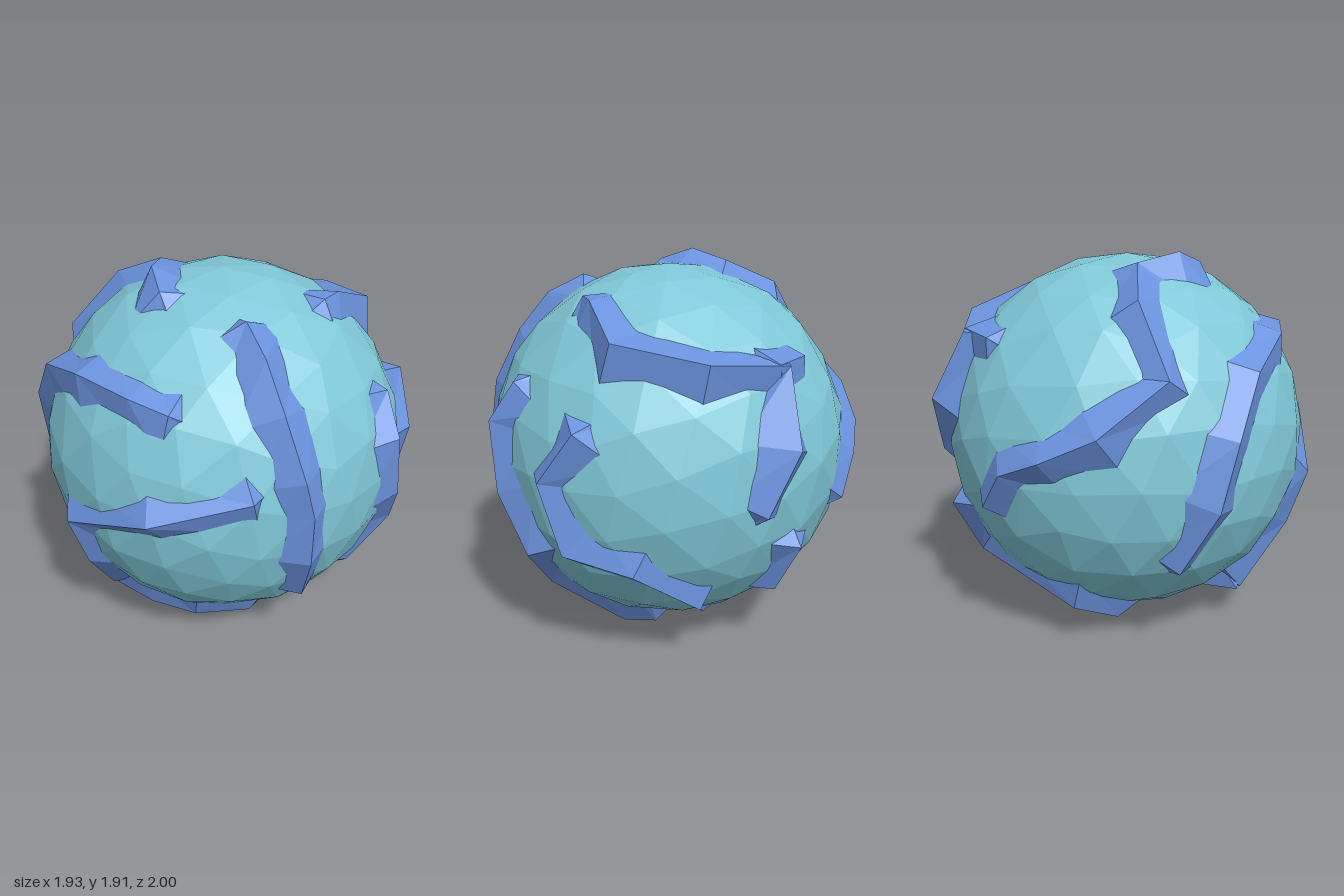
import * as THREE from 'three';

const CENTER = new THREE.Vector3(0, 0.96, 0);
const GLOBE_RADIUS = 0.92;

const globeMaterial = new THREE.MeshStandardMaterial({ color: 0x80c8d8, flatShading: true });
const ridgeMaterial = new THREE.MeshStandardMaterial({ color: 0x6c94e0, flatShading: true });

// Crest lines of the raised ridges, as x, y, z points
const ridges = {
  upperFrontRidge: [[0.08, 1.48, 0.78], [-0.12, 1.53, 0.79], [-0.45, 1.53, 0.67], [-0.76, 1.42, 0.45],
    [-0.93, 1.15, 0.31], [-0.96, 0.83, 0.22], [-0.85, 0.5, 0.07]],
  leftFrontRidge: [[0.27, 1.78, 0.38], [0.42, 1.7, 0.52], [0.55, 1.5, 0.62], [0.68, 1.22, 0.68],
    [0.72, 1.03, 0.66], [0.71, 0.75, 0.64], [0.62, 0.46, 0.5]],
  middleFrontRidge: [[0.48, 1.14, 0.8], [0.05, 1.02, 1.0], [-0.46, 0.81, 0.85], [-0.41, 0.52, 0.77],
    [-0.43, 0.18, 0.52]],
  lowerFrontRidge: [[-0.45, 0.17, 0.5], [-0.2, 0.12, 0.52], [0.06, 0.12, 0.52], [0.3, 0.09, 0.35],
    [0.36, 0.02, -0.08]],
  topRidge: [[-0.17, 1.83, 0.33], [-0.28, 1.91, 0.2], [-0.34, 1.87, -0.02], [-0.62, 1.74, -0.08],
    [-0.88, 1.43, 0], [-0.92, 1.2, -0.33], [-0.8, 1.07, -0.57], [-0.64, 0.97, -0.73], [-0.5, 0.78, -0.78]],
  backRidge: [[0.49, 1.75, -0.03], [0.54, 1.78, -0.15], [0.62, 1.66, -0.46], [0.3, 1.58, -0.77],
    [-0.1, 1.53, -0.83], [-0.04, 1.19, -1.0], [0.1, 0.88, -0.95]],
  backSpur: [[-0.05, 1.54, -0.82], [-0.27, 1.53, -0.73]],
  leftSideRidge: [[0.86, 1.4, 0.03], [0.96, 1.2, 0.12], [0.97, 0.85, 0.05], [0.91, 0.57, -0.13],
    [0.73, 0.31, 0.0], [0.37, 0.02, -0.12], [0.25, 0.04, -0.25]],
  leftBackRidge: [[0.82, 1.28, -0.47], [0.93, 1.02, -0.32], [0.86, 0.67, -0.4], [0.63, 0.6, -0.65],
    [0.3, 0.36, -0.72]],
  lowerBackRidge: [[-0.13, 0.66, -0.93], [-0.1, 0.38, -0.79], [-0.55, 0.22, -0.38], [-0.45, 0.09, -0.14],
    [-0.24, 0.0, -0.15], [-0.02, 0.03, -0.3]],
};

// Faceted globe with slightly uneven facets
function createGlobe() {
  const geometry = new THREE.IcosahedronGeometry(GLOBE_RADIUS, 3);
  geometry.rotateZ(0.3);
  const position = geometry.attributes.position;
  const p = new THREE.Vector3();
  for (let i = 0; i < position.count; i++) {
    p.fromBufferAttribute(position, i);
    const shift = new THREE.Vector3(Math.sin(p.y * 17 + p.z * 9), Math.sin(p.z * 15 + p.x * 11), Math.sin(p.x * 19 + p.y * 7));
    p.addScaledVector(shift, 0.022).setLength(GLOBE_RADIUS);
    position.setXYZ(i, p.x, p.y, p.z);
  }
  geometry.computeVertexNormals();
  const mesh = new THREE.Mesh(geometry, globeMaterial);
  mesh.name = 'globe';
  mesh.position.copy(CENTER);
  return mesh;
}

// Ridge of triangular section, with its base sunk into the globe
function createRidge(name, points) {
  const path = points.map((p) => new THREE.Vector3(...p).sub(CENTER).clampLength(0.965, 1.03));
  const last = path.length - 1;
  const beyond = (end, before) => end.clone().add(end.clone().sub(before).setLength(0.13)).setLength(0.86);
  const crest = [beyond(path[0], path[1]), ...path, beyond(path[last], path[last - 1])];

  const sections = crest.map((top, i) => {
    const isTip = i === 0 || i === crest.length - 1;
    const up = top.clone().normalize();
    const ahead = crest[Math.min(i + 1, crest.length - 1)].clone().sub(crest[Math.max(i - 1, 0)]);
    const side = ahead.cross(up).normalize();
    const width = isTip ? 0.03 : 0.185 + 0.02 * Math.sin(i * 2.4);
    const base = up.clone().multiplyScalar(isTip ? 0.83 : 0.85);
    return [base.clone().addScaledVector(side, -width), top, base.clone().addScaledVector(side, width)];
  });

  const index = [];
  for (let i = 0; i < sections.length - 1; i++) {
    for (let j = 0; j < 2; j++) {
      const a = i * 3 + j;
      index.push(a, a + 1, a + 4, a, a + 4, a + 3);
    }
  }
  const indexed = new THREE.BufferGeometry().setFromPoints(sections.flat());
  indexed.setIndex(index);
  const geometry = indexed.toNonIndexed();
  geometry.computeVertexNormals();
  const mesh = new THREE.Mesh(geometry, ridgeMaterial);
  mesh.name = name;
  mesh.position.copy(CENTER);
  return mesh;
}

export function createModel() {
  const group = new THREE.Group();
  group.name = 'ridgedGlobe';
  group.add(createGlobe());
  for (const [name, points] of Object.entries(ridges)) group.add(createRidge(name, points));
  return group;
}
